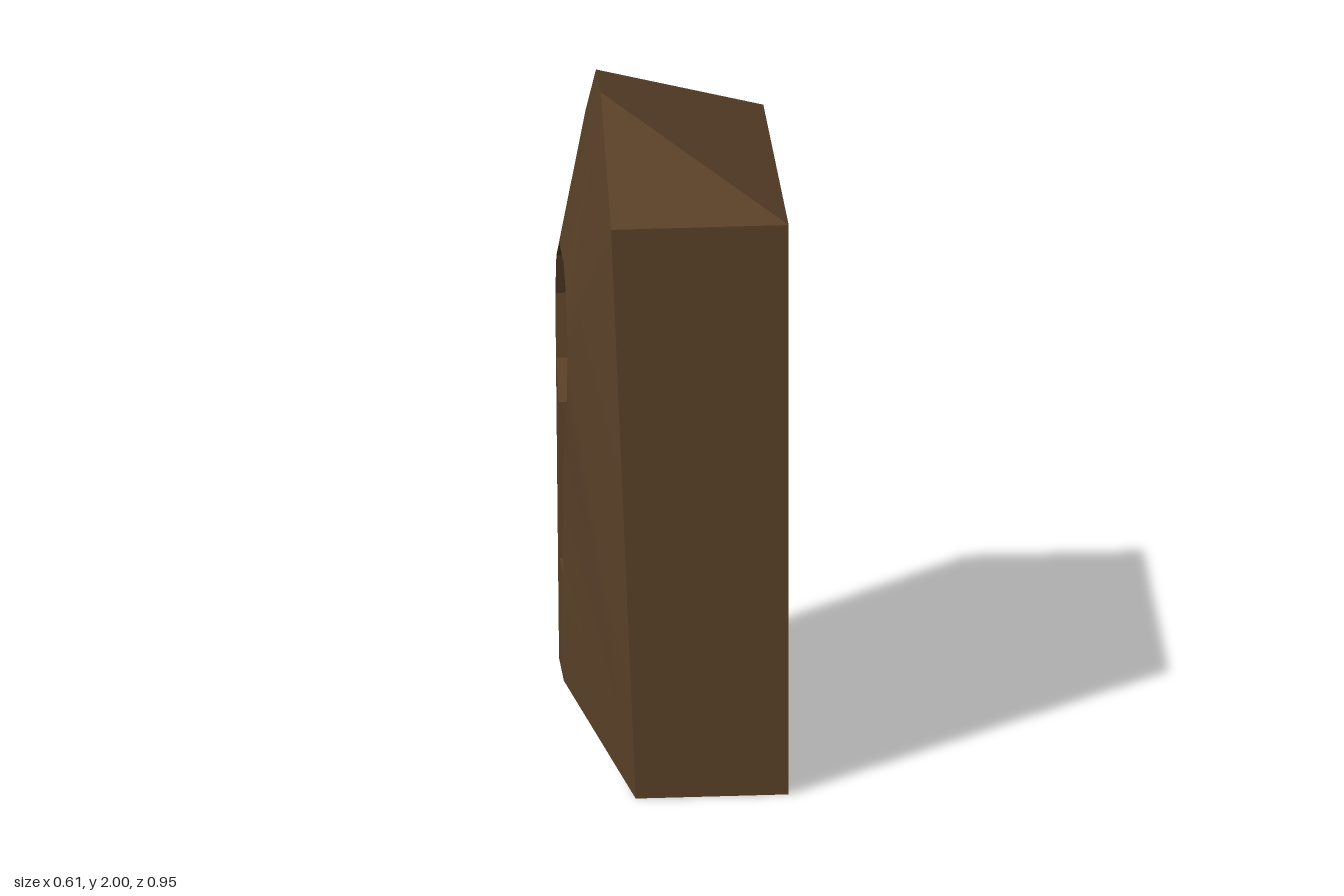
import * as THREE from 'three';
import { toCreasedNormals } from 'three/addons/utils/BufferGeometryUtils.js';

const flip = ([x, y, z]) => [x, y, -z];
// Same polygon on the other side, with its corner order reversed
const mirror = (poly) => poly.map(flip).reverse();
const withMirror = (polys) => [...polys, ...polys.map(mirror)];

// Fan-triangulate a list of polygons into one geometry
function panels(polys, crease) {
  const pos = [];
  for (const p of polys) {
    for (let i = 1; i < p.length - 1; i++) pos.push(...p[0], ...p[i], ...p[i + 1]);
  }
  const g = new THREE.BufferGeometry();
  g.setAttribute('position', new THREE.Float32BufferAttribute(pos, 3));
  g.computeVertexNormals();
  return toCreasedNormals(g, crease);
}

export function createModel() {
  const model = new THREE.Group();
  model.name = 'keyholeBlock';
  const wood = new THREE.MeshStandardMaterial({ color: 0x5a4128 });
  wood.name = 'darkBrown';

  const add = (name, polys, crease = 0.1) => {
    const mesh = new THREE.Mesh(panels(polys, crease), wood);
    mesh.name = name;
    model.add(mesh);
  };

  // Outer corners of the +z half
  const ridge = [-0.2, 2, 0.09];
  const shoulder = [-0.2, 1.73, 0.475];
  const foot = [-0.13, 0, 0.475];
  const lip = [-0.305, 0.215, 0.09];
  const backTop = [0.305, 1.73, 0.475];
  const backFoot = [0.305, 0, 0.475];

  // Keyhole outline of the +z half as [z, y], top to bottom
  const outline = [[0.08, 1.48], [0.19, 1.4], [0.23, 1.27], [0.2, 1.085], [0.095, 0.99], [0.055, 0.53]];
  const rim = outline.map(([z, y]) => [-0.305, y, z]);
  const deep = outline.map(([z, y]) => [-0.215, y, z]);
  const [a, b, c, d, e, f] = rim;

  // Outer block
  add('sides', withMirror([[shoulder, foot, backFoot, backTop]]));
  add('backPanel', [[backTop, backFoot, flip(backFoot), flip(backTop)]]);
  add('roof', [
    [ridge, backTop, flip(backTop), flip(ridge)],
    ...withMirror([[shoulder, backTop, ridge]]),
  ]);
  add('underside', [
    [backFoot, lip, flip(lip), flip(backFoot)],
    ...withMirror([[foot, lip, backFoot]]),
  ]);

  // Bulging panel around the keyhole
  add('keyholePanel', [
    [ridge, flip(ridge), flip(a), a],
    [lip, f, flip(f), flip(lip)],
    ...withMirror([
      [ridge, a, b, shoulder],
      [shoulder, b, c, foot],
      [foot, c, d, e, f, lip],
    ]),
  ], 0.5);

  // Recessed keyhole walls and floor
  const walls = [];
  const floor = [];
  for (let i = 0; i < rim.length - 1; i++) {
    walls.push([rim[i], deep[i], deep[i + 1], rim[i + 1]]);
    floor.push([deep[i], flip(deep[i]), flip(deep[i + 1]), deep[i + 1]]);
  }
  const last = rim.length - 1;
  add('keyholeWalls', [
    ...withMirror(walls),
    [flip(a), flip(deep[0]), deep[0], a],
    [f, deep[last], flip(deep[last]), flip(f)],
  ]);
  add('keyholeFloor', floor);

  return model;
}
